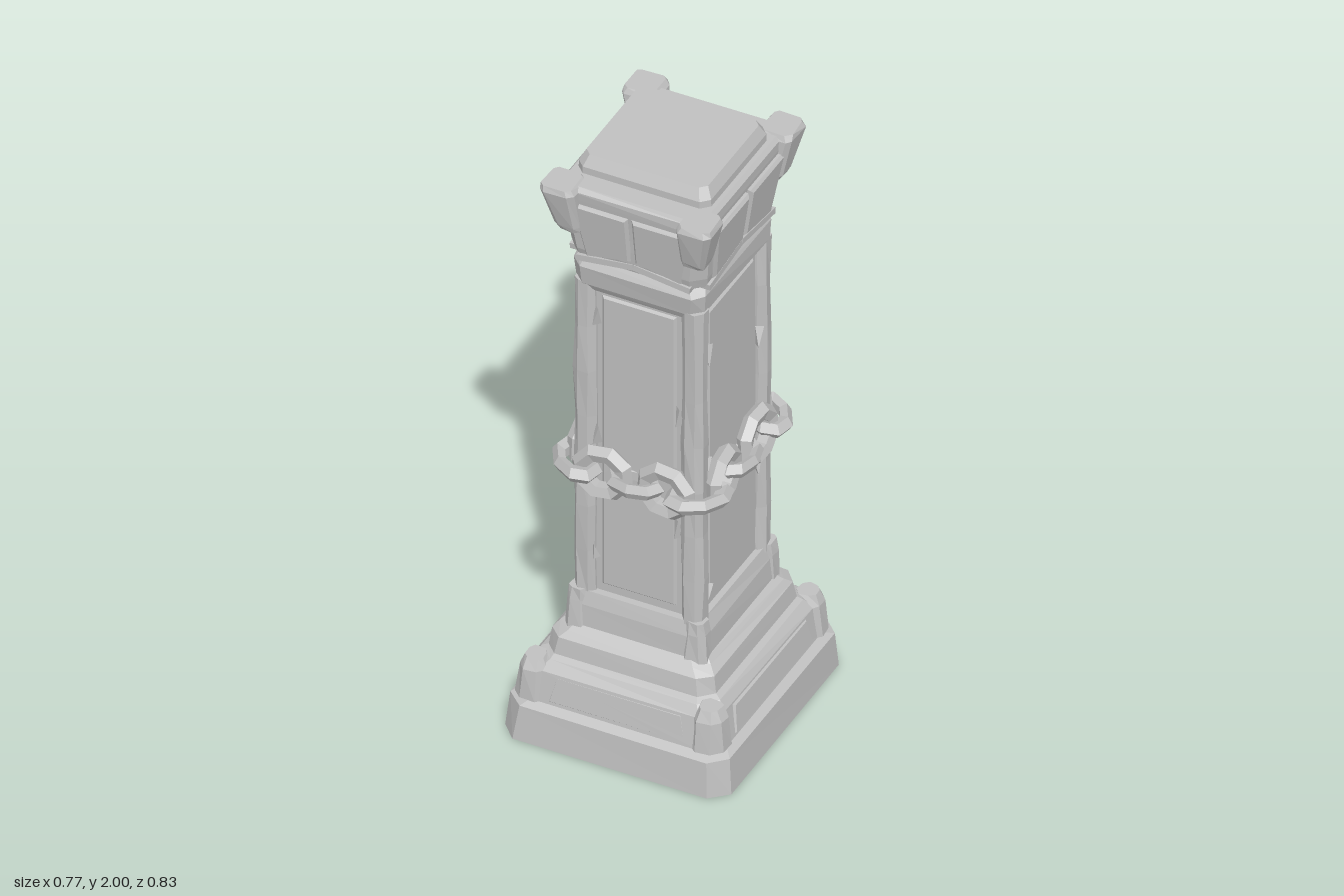
import * as THREE from 'three';

const stone = new THREE.MeshStandardMaterial({ color: 0xc0c0c0, flatShading: true });
stone.name = 'grey stone';

// seeded noise for a hand-chiselled look
let seed = 7;
const noise = () => {
  seed = (seed * 16807) % 2147483647;
  return (seed / 2147483647) * 2 - 1;
};

// chamfered rectangles [y, halfX, halfZ, chamfer] lofted into a closed solid
function loft(rings, jitter = 0) {
  const loops = rings.map(([y, hx, hz, c]) =>
    [[hx, hz - c], [hx - c, hz], [c - hx, hz], [-hx, hz - c],
      [-hx, c - hz], [c - hx, -hz], [hx - c, -hz], [hx, c - hz]]
      .map(([x, z]) => new THREE.Vector3(x + noise() * jitter, y, z + noise() * jitter)));
  const pos = [];
  const tri = (...pts) => pts.forEach((p) => pos.push(p.x, p.y, p.z));
  for (let r = 0; r < loops.length - 1; r++) {
    for (let i = 0; i < 8; i++) {
      const j = (i + 1) % 8, lo = loops[r], up = loops[r + 1];
      tri(lo[i], up[i], up[j]);
      tri(lo[i], up[j], lo[j]);
    }
  }
  const first = loops[0], last = loops[loops.length - 1];
  for (let i = 1; i < 7; i++) {
    tri(first[0], first[i], first[i + 1]);
    tri(last[0], last[i + 1], last[i]);
  }
  const g = new THREE.BufferGeometry();
  g.setAttribute('position', new THREE.Float32BufferAttribute(pos, 3));
  g.computeVertexNormals();
  return g;
}

function add(parent, name, geometry, x = 0, y = 0, z = 0) {
  const m = new THREE.Mesh(geometry, stone);
  m.name = name;
  m.position.set(x, y, z);
  parent.add(m);
  return m;
}

// slab with a bevelled front: outline points drawn in xy, facing +z
function plate(points, depth, bevel) {
  const shape = new THREE.Shape(points.map(([x, y]) => new THREE.Vector2(x, y)));
  return new THREE.ExtrudeGeometry(shape, {
    depth, bevelEnabled: true, bevelThickness: bevel, bevelSize: bevel, bevelOffset: -bevel, bevelSegments: 1,
  });
}

export function createModel() {
  const model = new THREE.Group();
  model.name = 'chainedPillar';
  const pillar = new THREE.Group();
  pillar.name = 'pillar';
  pillar.rotation.y = -0.067;
  model.add(pillar);

  // stepped plinth, hollow underneath
  add(pillar, 'plinth', loft([
    [0.25, 0.2, 0.22, 0.03], [0.24, 0.27, 0.3, 0.04], [0.13, 0.295, 0.325, 0.04],
    [0.12, 0.33, 0.36, 0.045], [0, 0.352, 0.384, 0.05],
    [0, 0.362, 0.394, 0.05], [0.115, 0.35, 0.382, 0.05], [0.13, 0.325, 0.355, 0.05],
    [0.23, 0.308, 0.338, 0.05], [0.26, 0.285, 0.315, 0.05], [0.27, 0.268, 0.298, 0.04],
    [0.325, 0.26, 0.29, 0.04], [0.345, 0.24, 0.268, 0.04], [0.36, 0.222, 0.25, 0.035],
    [0.43, 0.216, 0.242, 0.035], [0.475, 0.203, 0.23, 0.035],
  ], 0.003));

  // shaft core
  add(pillar, 'shaft', loft([[0.45, 0.182, 0.208, 0.03], [1.6, 0.182, 0.208, 0.03]]));

  // chamfered corner posts with worn edges
  for (const sx of [-1, 1]) for (const sz of [-1, 1]) {
    const rings = [];
    for (let i = 0; i <= 7; i++) rings.push([0.46 + i * 0.16, 0.035, 0.035, 0.018]);
    add(pillar, 'cornerPost', loft(rings, 0.004), sx * 0.172, 0, sz * 0.199);
    // heavier corner blocks on the plinth and horns on the capital
    add(pillar, 'plinthCorner', loft([
      [0.13, 0.055, 0.055, 0.03], [0.23, 0.045, 0.045, 0.025], [0.265, 0.03, 0.03, 0.015],
    ], 0.004), sx * 0.28, 0, sz * 0.31);
    add(pillar, 'lowerCollarCorner', loft([
      [0.34, 0.04, 0.04, 0.02], [0.44, 0.034, 0.034, 0.018], [0.48, 0.026, 0.026, 0.01],
    ], 0.004), sx * 0.188, 0, sz * 0.214);
    const horn = loft([
      [1.78, 0.034, 0.036, 0.012], [1.8, 0.042, 0.044, 0.014],
      [1.93, 0.055, 0.058, 0.016], [1.948, 0.047, 0.05, 0.014],
    ], 0.004);
    // lean each horn outward
    const p = horn.attributes.position;
    for (let i = 0; i < p.count; i++) {
      const lean = (p.getY(i) - 1.94) * 0.14;
      p.setX(i, p.getX(i) + sx * lean);
      p.setZ(i, p.getZ(i) + sz * lean);
    }
    horn.computeVertexNormals();
    add(pillar, 'capitalHorn', horn, sx * 0.22, 0, sz * 0.26);
  }

  // neck below the capital
  add(pillar, 'upperCollar', loft([
    [1.55, 0.19, 0.216, 0.03], [1.575, 0.208, 0.234, 0.035], [1.64, 0.214, 0.24, 0.035],
    [1.665, 0.204, 0.23, 0.035], [1.7, 0.2, 0.226, 0.03],
  ], 0.004));

  // flared capital and top slab
  add(pillar, 'capital', loft([
    [1.675, 0.212, 0.238, 0.035], [1.71, 0.217, 0.246, 0.035], [1.8, 0.226, 0.258, 0.035],
    [1.9, 0.238, 0.274, 0.035], [1.93, 0.238, 0.274, 0.03], [1.942, 0.226, 0.262, 0.03],
  ], 0.003));
  add(pillar, 'topSlab', loft([
    [1.93, 0.213, 0.2, 0.025], [1.965, 0.212, 0.2, 0.025], [2, 0.195, 0.18, 0.02],
  ]));

  // details repeated on the four faces: [turn, half width, distance]
  const faces = [[0, 0.182, 0.208], [1, 0.208, 0.182], [2, 0.182, 0.208], [3, 0.208, 0.182]];
  for (const [turn, w, d] of faces) {
    const face = new THREE.Group();
    face.name = 'face';
    face.rotation.y = turn * Math.PI / 2;
    pillar.add(face);

    // raised shaft panel
    const pw = w - 0.062;
    add(face, 'shaftPanel', plate([[-pw, 0.5], [pw, 0.5], [pw, 1.535], [-pw, 1.535]], 0.001, 0.008), 0, 0, d - 0.002);

    // plinth panel
    const bw = w + 0.04;
    const base = add(face, 'plinthPanel', plate([[-bw, 0], [bw, 0], [bw - 0.02, 0.09], [-bw + 0.02, 0.09]], 0.004, 0.006), 0, 0.135, d + 0.138);
    base.rotation.x = -0.17;

    // two carved blocks on the capital, arched along the bottom
    for (const s of [-1, 1]) {
      const pts = [[0.006 * s, 0.03], [(w - 0.03) * s, 0], [(w + 0.005) * s, 0.2], [0.006 * s, 0.2]];
      if (s < 0) pts.reverse();
      const block = add(face, 'capitalBlock', plate(pts, 0.014, 0.009), 0, 1.69, d + 0.022);
      block.rotation.x = 0.14;
    }
    // chipped brow under the blocks
    for (const s of [-1, 1]) {
      const brow = add(face, 'capitalBrow', new THREE.BoxGeometry(w, 0.02, 0.03), s * w * 0.5, 1.688, d + 0.028);
      brow.rotation.z = -s * 0.13;
    }

    // chips on the post edges
    for (let i = 0; i < 5; i++) {
      const side = i % 2 ? 1 : -1;
      const chip = add(face, 'chip', new THREE.TetrahedronGeometry(0.022 + 0.006 * noise()),
        side * (w - 0.05 + 0.006 * noise()), 0.58 + i * 0.21 + 0.05 * noise(), d + 0.012);
      chip.scale.set(0.7, 2.2, 0.7);
      chip.rotation.z = noise() * 0.4;
    }

    // chain: two upright links, one flat link between, one flat link round the corner
    const link = new THREE.TorusGeometry(0.068, 0.027, 5, 8);
    for (const s of [-1, 1]) {
      const l = add(face, 'uprightLink', link, s * (w * 0.25 + 0.056), 0.932 + 0.006 * noise(), d + 0.035);
      l.scale.set(1.06, 1.02, 1);
      l.rotation.set(0.06 * noise(), -s * 0.06, 0.39 + 0.1 * noise());
    }
    const flat = add(face, 'flatLink', link, 0, 0.925, d + 0.035);
    flat.rotation.set(Math.PI / 2, 0, 0);
    flat.scale.set(1.02, 0.62, 0.95);
    const corner = add(face, 'cornerLink', link, w + 0.012, 0.925, d + 0.012);
    corner.rotation.set(Math.PI / 2, 0, -Math.PI / 4);
    corner.scale.set(1.15, 0.75, 0.95);
  }

  // stray link hanging below the capital
  const stray = add(pillar, 'strayLink', new THREE.TorusGeometry(0.042, 0.018, 5, 8), -0.25, 1.695, 0.07);
  stray.rotation.y = Math.PI / 2;
  stray.scale.set(1.4, 0.9, 1);

  return model;
}
